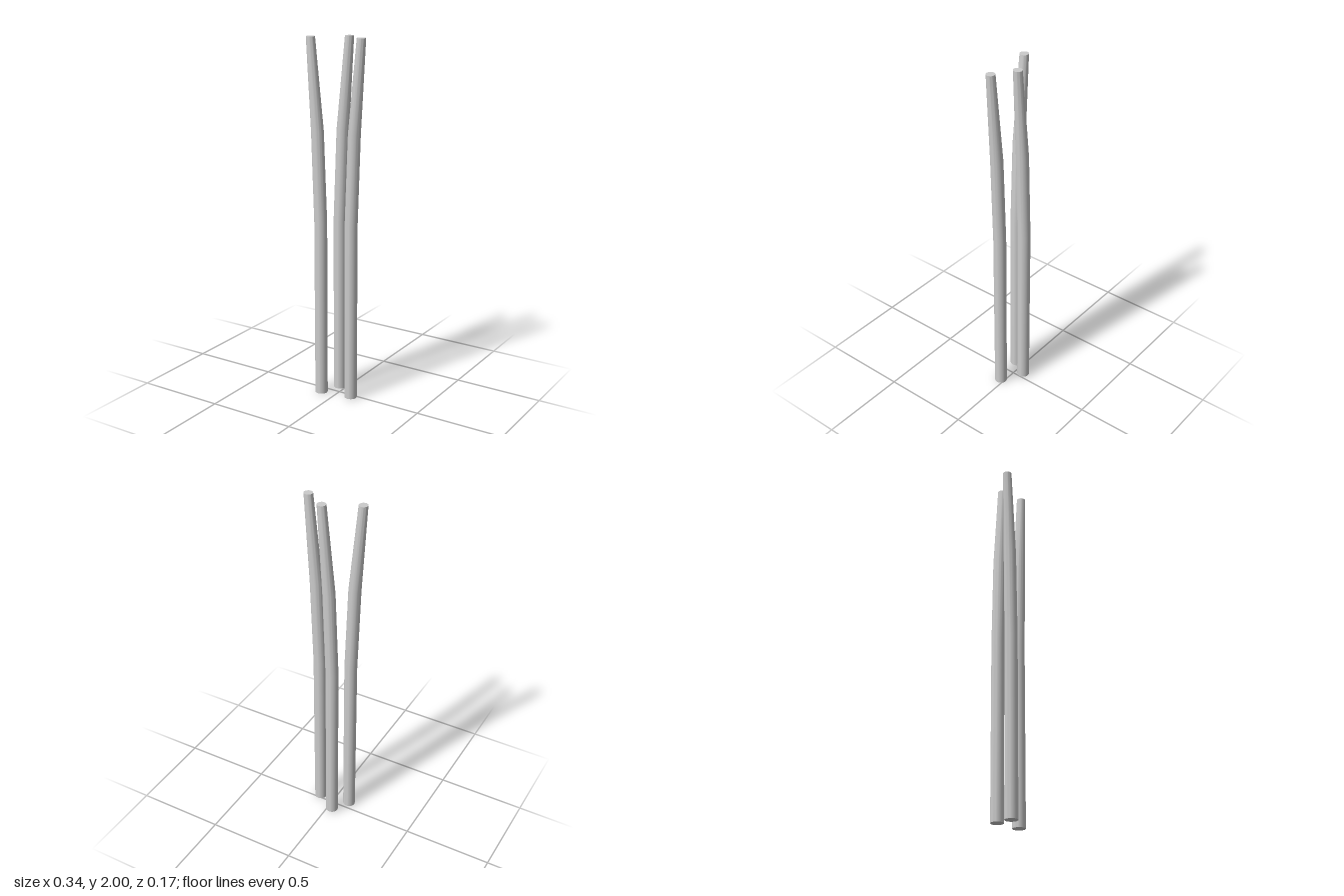
import * as THREE from 'three';
import { toCreasedNormals } from 'three/addons/utils/BufferGeometryUtils.js';

const material = new THREE.MeshStandardMaterial({ color: 0xcccccc });

// Rings from bottom to top: [height, sideways bend, radius]
const rings = [[0, 0, 0.035], [1, 0, 0.035], [1.5, 0.018, 0.034], [2, 0.058, 0.024]];

// A round stem that bends towards one side and tapers to its tip
function stem(name, x, z, side, bottom, top) {
  const geometry = new THREE.CylinderGeometry(1, 1, 3, 32, 3);
  const p = geometry.attributes.position;
  for (let i = 0; i < p.count; i++) {
    const level = Math.round(p.getY(i) + 1.5);
    const [height, bend, radius] = rings[level];
    const y = level === 0 ? bottom : level === 3 ? top : height;
    p.setXYZ(i, p.getX(i) * radius + side * bend, y, p.getZ(i) * radius);
  }
  const mesh = new THREE.Mesh(toCreasedNormals(geometry, 0.5), material);
  mesh.name = name;
  mesh.position.set(x, 0, z);
  return mesh;
}

export function createModel() {
  const group = new THREE.Group();
  group.name = 'stems';
  group.add(
    stem('rightStem', -0.09, 0.048, -1, 0, 1.995),
    stem('backStem', -0.029, -0.051, 1, 0.008, 2),
    stem('leftStem', 0.088, 0.023, 1, 0.002, 2),
  );
  return group;
}
